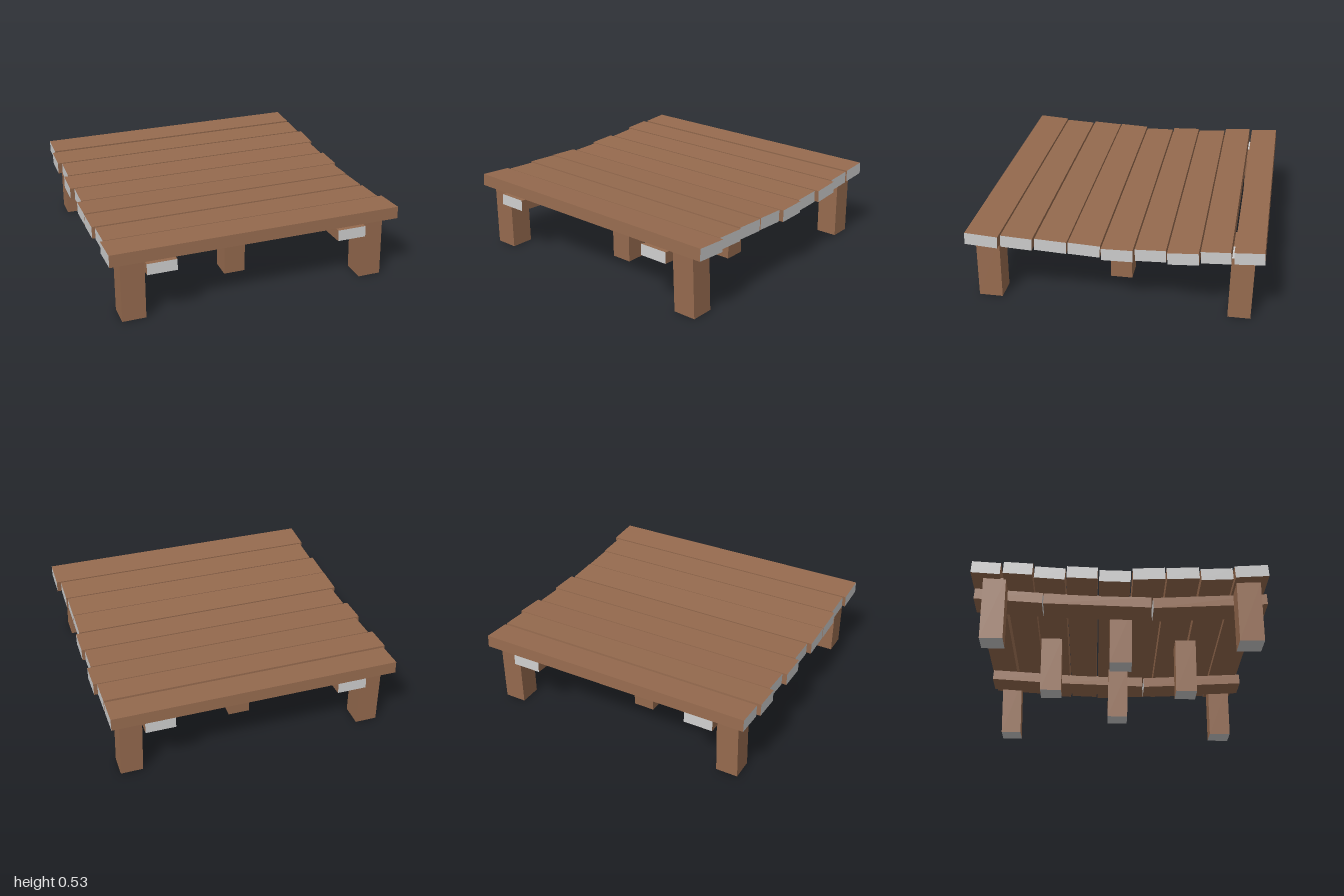
import * as THREE from 'three';

const wood = new THREE.MeshStandardMaterial({ color: 0x956a4e, flatShading: true });
const cut = new THREE.MeshStandardMaterial({ color: 0xcccccc, flatShading: true });

// Board spanning x0..x1 whose top runs from (zBack, yBack) to (zFront, yFront).
// cutAxis 'x' or 'z' tells which pair of faces is bare sawn timber.
function board(name, [x0, x1, zBack, zFront, yBack, yFront], thick, cutAxis) {
  const dz = zFront - zBack, dy = yFront - yBack;
  const tilt = -Math.atan2(dy, dz);
  const geo = new THREE.BoxGeometry(x1 - x0, thick, Math.hypot(dz, dy));
  geo.translate(0, -thick / 2, 0);
  const materials = cutAxis === 'x'
    ? [cut, cut, wood, wood, wood, wood]
    : [wood, wood, wood, wood, cut, cut];
  const mesh = new THREE.Mesh(geo, materials);
  mesh.position.set((x0 + x1) / 2, (yBack + yFront) / 2, (zBack + zFront) / 2);
  mesh.rotation.x = tilt;
  mesh.name = name;
  return mesh;
}

// Square post standing on the ground, its top leaning by (leanX, leanZ).
function post(name, x, z, height, leanX, leanZ, width = 0.15) {
  const geo = new THREE.BoxGeometry(width, height, width);
  geo.translate(0, height / 2, 0);
  const p = geo.attributes.position;
  for (let i = 0; i < p.count; i++) {
    if (p.getY(i) > height / 2) {
      p.setX(i, p.getX(i) + leanX);
      p.setZ(i, p.getZ(i) + leanZ);
    }
  }
  geo.computeVertexNormals();
  const mesh = new THREE.Mesh(geo, [wood, wood, cut, cut, wood, wood]);
  mesh.position.set(x, 0, z);
  mesh.name = name;
  return mesh;
}

export function createModel() {
  const model = new THREE.Group();
  model.name = 'sagging wooden platform';

  // Deck planks, back to front: x0, x1, zBack, zFront, top yBack, top yFront
  const planks = [
    [-0.98, 0.96, -0.98, -0.79, 0.527, 0.515],
    [-1.00, 0.96, -0.77, -0.58, 0.513, 0.502],
    [-0.97, 0.985, -0.57, -0.37, 0.500, 0.487],
    [-1.00, 0.96, -0.36, -0.16, 0.486, 0.478],
    [-0.97, 0.98, -0.15, 0.055, 0.478, 0.474],
    [-1.00, 0.955, 0.065, 0.275, 0.475, 0.484],
    [-1.00, 0.955, 0.285, 0.497, 0.481, 0.491],
    [-0.98, 0.965, 0.51, 0.72, 0.489, 0.499],
    [-1.00, 0.995, 0.73, 0.95, 0.501, 0.515],
  ];
  planks.forEach((b, i) => model.add(board(`plank${i + 1}`, b, 0.083, 'x')));

  // Two bearers under the deck, each in three lengths: zBack, zFront, top yBack, top yFront
  const lengths = [
    [-0.98, -0.525, 0.443, 0.414],
    [-0.52, 0.20, 0.412, 0.390],
    [0.21, 0.975, 0.386, 0.426],
  ];
  for (const [side, x0, x1] of [['right', -0.77, -0.57], ['left', 0.545, 0.745]]) {
    lengths.forEach((l, i) =>
      model.add(board(`${side}Bearer${i + 1}`, [x0, x1, ...l], 0.076, 'z')));
  }

  // Corner legs and the four inner legs: x, z, height, leanX, leanZ
  model.add(
    post('frontRightLeg', -0.845, 0.83, 0.425, 0, 0, 0.16),
    post('frontLeftLeg', 0.84, 0.83, 0.425, -0.015, 0, 0.16),
    post('backRightLeg', -0.845, -0.835, 0.44, 0.005, 0, 0.15),
    post('backLeftLeg', 0.835, -0.84, 0.44, -0.01, -0.008, 0.15),
    post('middleRightLeg', -0.5, 0, 0.393, -0.005, 0),
    post('middleLeftLeg', 0.475, 0, 0.393, 0, 0.005),
    post('frontMiddleLeg', -0.025, 0.485, 0.405, 0, 0.003),
    post('backMiddleLeg', -0.025, -0.49, 0.41, 0, -0.003),
  );
  return model;
}
